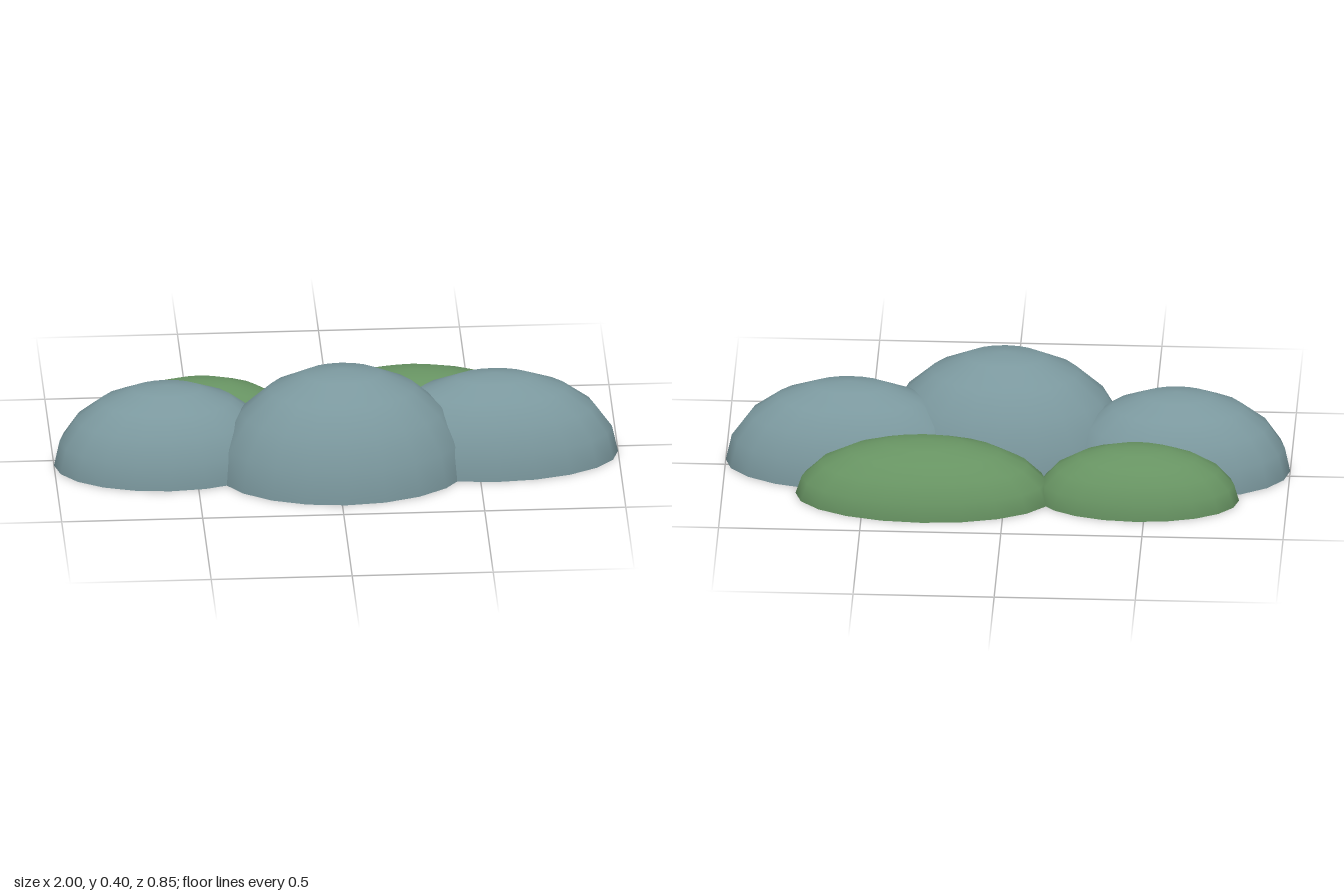
import * as THREE from 'three';

export function createModel() {
  const model = new THREE.Group();
  model.name = 'bushCluster';

  const blue = new THREE.MeshStandardMaterial({ color: 0x7b989e });
  blue.name = 'blue-grey foliage';
  const green = new THREE.MeshStandardMaterial({ color: 0x679362 });
  green.name = 'green foliage';

  // Shared unit dome and its flat underside
  const dome = new THREE.SphereGeometry(1, 20, 5, 0, Math.PI * 2, 0, Math.PI / 2);
  const base = new THREE.CircleGeometry(1, 20).rotateX(Math.PI / 2);

  // One mound: centre on the ground, half width, height, half depth
  function addMound(name, material, x, z, rx, h, rz, baseY) {
    const mound = new THREE.Group();
    mound.name = name;
    const top = new THREE.Mesh(dome, material);
    top.name = name + 'Dome';
    const bottom = new THREE.Mesh(base, material);
    bottom.name = name + 'Base';
    bottom.position.y = baseY / h; // keeps overlapping undersides apart
    mound.add(top, bottom);
    mound.position.set(x, 0, z);
    mound.scale.set(rx, h, rz);
    model.add(mound);
  }

  // Front row
  addMound('middleMound', blue, 0.015, 0.14, 0.445, 0.4, 0.286, 0.001);
  addMound('rightMound', blue, -0.6, 0.04, 0.4, 0.305, 0.235, 0.001);
  addMound('leftMound', blue, 0.56, 0.04, 0.44, 0.32, 0.228, 0.001);

  // Low back row
  addMound('backLeftMound', green, 0.285, -0.212, 0.456, 0.22, 0.216, 0);
  addMound('backRightMound', green, -0.47, -0.2, 0.36, 0.205, 0.185, 0);

  return model;
}
